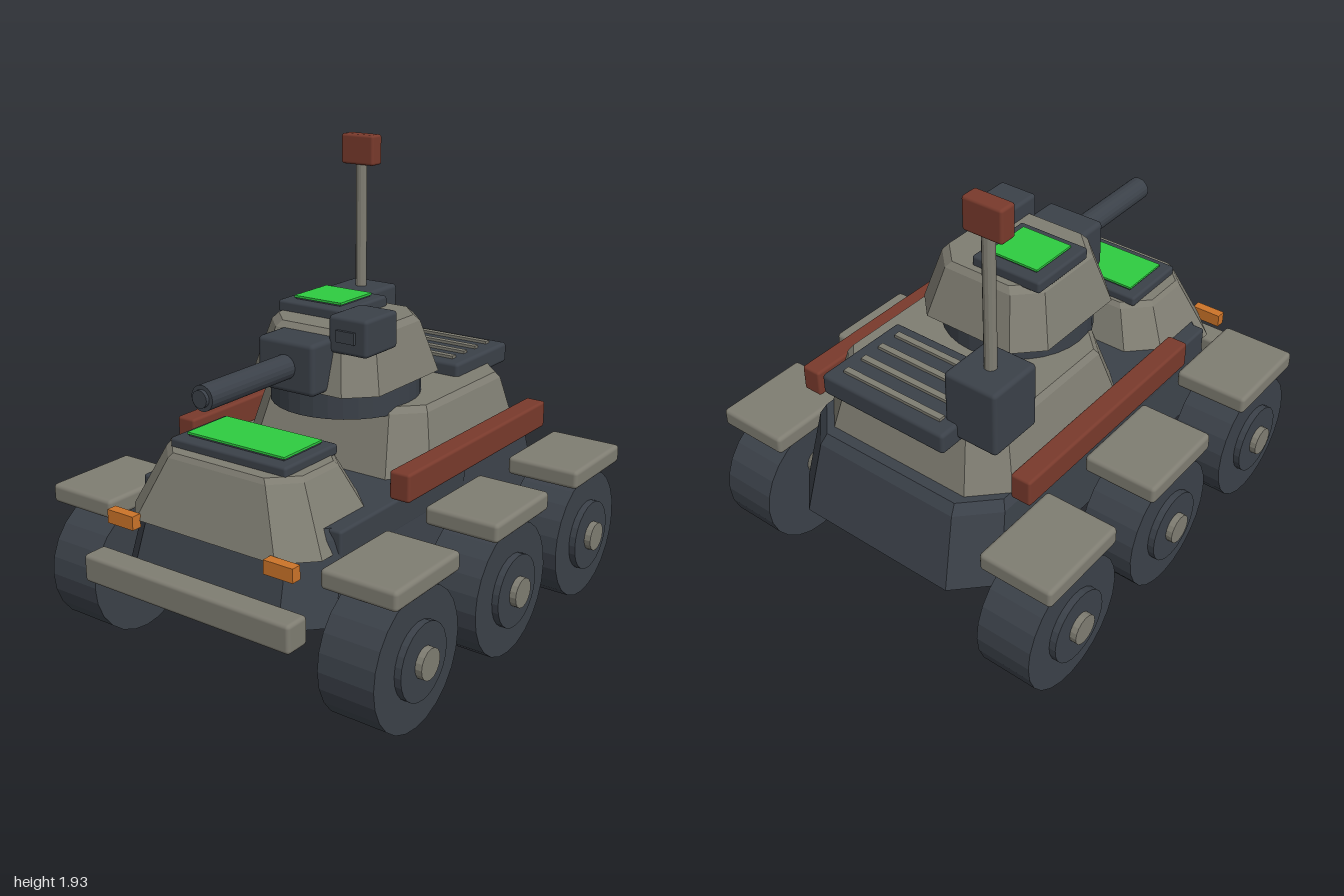
import * as THREE from 'three';
import { RoundedBoxGeometry } from 'three/addons/geometries/RoundedBoxGeometry.js';

const mat = (name, color) => {
  const m = new THREE.MeshStandardMaterial({ color });
  m.name = name;
  return m;
};

// Octagonal solid lofted through rings of [y, halfWidth, zBack, zFront, chamfer]
function octLoft(rings) {
  const pos = [];
  const loops = rings.map(([y, w, zb, zf, c]) => [
    [w, zf - c], [w, zb + c], [w - c, zb], [-w + c, zb],
    [-w, zb + c], [-w, zf - c], [-w + c, zf], [w - c, zf],
  ].map(([x, z]) => [x, y, z]));
  const tri = (...p) => p.forEach((v) => pos.push(...v));
  for (let r = 0; r < loops.length - 1; r++) {
    for (let i = 0; i < 8; i++) {
      const j = (i + 1) % 8, a = loops[r], b = loops[r + 1];
      tri(a[i], a[j], b[j]);
      tri(a[i], b[j], b[i]);
    }
  }
  const low = loops[0], top = loops[loops.length - 1];
  for (let i = 1; i < 7; i++) {
    tri(low[0], low[i + 1], low[i]);
    tri(top[0], top[i], top[i + 1]);
  }
  const g = new THREE.BufferGeometry();
  g.setAttribute('position', new THREE.Float32BufferAttribute(pos, 3));
  g.computeVertexNormals();
  return g;
}

// Cylinder with flat sides
function drum(r, length, sides, axis = 'y') {
  const g = new THREE.CylinderGeometry(r, r, length, sides).toNonIndexed();
  g.computeVertexNormals();
  if (axis === 'x') g.rotateZ(-Math.PI / 2);
  if (axis === 'z') g.rotateX(Math.PI / 2);
  return g;
}

export function createModel() {
  const model = new THREE.Group();
  model.name = 'armouredRover';
  const tan = mat('armourGrey', 0x7f7d72);
  const dark = mat('darkSteel', 0x3b4149);
  const red = mat('rustRed', 0x793a2c);
  const green = mat('glowGreen', 0x2ecc40);
  const orange = mat('lampOrange', 0xcc7429);

  const add = (name, geo, material, x = 0, y = 0, z = 0, parent = model) => {
    const m = new THREE.Mesh(geo, material);
    m.name = name;
    m.position.set(x, y, z);
    parent.add(m);
    return m;
  };
  // Box from its limits; r > 0 softens the edges
  const box = (name, material, [x0, x1], [y0, y1], [z0, z1], r = 0.012) => {
    const s = [x1 - x0, y1 - y0, z1 - z0];
    const g = r ? new RoundedBoxGeometry(...s, 2, r) : new THREE.BoxGeometry(...s);
    return add(name, g, material, (x0 + x1) / 2, (y0 + y1) / 2, (z0 + z1) / 2);
  };
  const span = (s, a, b) => (s > 0 ? [a, b] : [-b, -a]);

  // Body
  add('hull', octLoft([
    [0.365, 0.51, -0.95, 0.885, 0.15],
    [0.67, 0.475, -0.87, 0.79, 0.14],
    [0.71, 0.455, -0.84, 0.77, 0.13],
  ]), dark);
  add('rearDeck', octLoft([
    [0.7, 0.463, -0.795, 0.165, 0.13],
    [0.95, 0.402, -0.725, 0.08, 0.11],
    [0.975, 0.385, -0.71, 0.065, 0.11],
  ]), tan);
  add('nose', octLoft([
    [0.62, 0.46, 0.28, 0.87, 0.12],
    [0.87, 0.335, 0.375, 0.787, 0.1],
    [0.89, 0.32, 0.39, 0.775, 0.1],
  ]), tan);
  box('bumper', tan, [-0.5, 0.5], [0.365, 0.48], [0.89, 1.0], 0.016);
  box('noseHatch', dark, [-0.28, 0.28], [0.88, 0.925], [0.405, 0.725]);
  box('noseHatchPanel', green, [-0.235, 0.235], [0.932, 0.941], [0.445, 0.675], 0);
  box('noseHatchPanelBase', dark, [-0.23, 0.23], [0.92, 0.932], [0.45, 0.67], 0);

  for (const s of [1, -1]) {
    box('sideStep', dark, span(s, 0.4, 0.485), [0.58, 0.71], [-0.2, 0.67]);
    box('sideRail', red, span(s, 0.485, 0.575), [0.735, 0.85], [-0.71, 0.365]);
    box('frontLamp', orange, span(s, 0.318, 0.45), [0.592, 0.648], [0.865, 0.908], 0);
  }

  // Turret
  add('turretRing', drum(0.31, 0.12, 32), dark, 0, 1.005, -0.035);
  add('turret', octLoft([
    [1.055, 0.313, -0.355, 0.285, 0.105],
    [1.27, 0.255, -0.29, 0.22, 0.095],
    [1.295, 0.235, -0.27, 0.2, 0.095],
  ]), tan);
  box('turretHatch', dark, [-0.26, 0.065], [1.285, 1.337], [-0.24, 0.078]);
  box('turretHatchPanel', green, [-0.212, 0.02], [1.343, 1.352], [-0.19, 0.03], 0);
  box('turretHatchPanelBase', dark, [-0.207, 0.015], [1.33, 1.343], [-0.185, 0.025], 0);
  box('gunMantlet', dark, [-0.135, 0.135], [1.063, 1.272], [0.2, 0.368], 0.02);
  add('gunBarrel', drum(0.05, 0.55, 20, 'z'), dark, 0, 1.166, 0.57);
  add('gunMuzzle', drum(0.034, 0.04, 20, 'z'), dark, 0, 1.166, 0.84);
  box('sightBox', dark, [0.12, 0.3], [1.217, 1.367], [0.035, 0.25], 0.016);
  box('sightWindow', dark, [0.165, 0.25], [1.268, 1.315], [0.247, 0.263], 0);

  // Engine grille
  box('engineGrille', dark, [-0.3, 0.295], [0.942, 1.032], [-0.862, -0.435], 0.016);
  for (const z of [-0.79, -0.695, -0.6, -0.505]) {
    box('grilleSlat', tan, [-0.24, 0.235], [1.02, 1.044], [z - 0.014, z + 0.014], 0);
  }

  // Antenna
  box('antennaBase', dark, [-0.475, -0.24], [0.965, 1.243], [-0.778, -0.535], 0.018);
  add('antennaPole', drum(0.025, 0.6, 12), tan, -0.357, 1.52, -0.653);
  box('antennaHead', red, [-0.443, -0.272], [1.795, 1.928], [-0.69, -0.615]);

  // Six wheels, each with a fender and a sloping axle arm
  const up = new THREE.Vector3(0, 1, 0);
  for (const s of [1, -1]) {
    for (const z of [0.626, -0.058, -0.722]) {
      const wheel = new THREE.Group();
      wheel.name = 'wheel';
      wheel.position.set(s * 0.67, 0.279, z);
      model.add(wheel);
      add('tyre', drum(0.278, 0.24, 24, 'x'), dark, 0, 0, 0, wheel);
      add('hub', drum(0.152, 0.06, 24, 'x'), dark, s * 0.118, 0, 0, wheel);
      add('hubCap', drum(0.062, 0.06, 16, 'x'), tan, s * 0.146, 0, 0, wheel);
      box('fender', tan, span(s, 0.51, 0.835), [0.56, 0.64], [z - 0.21, z + 0.21], 0.018);

      const a = new THREE.Vector3(s * 0.38, 0.47, z);
      const b = new THREE.Vector3(s * 0.6, 0.335, z);
      const dir = b.clone().sub(a);
      const mid = a.clone().add(b).multiplyScalar(0.5);
      const arm = add('axleArm', drum(0.045, dir.length(), 12), tan, mid.x, mid.y, mid.z);
      arm.quaternion.setFromUnitVectors(up, dir.normalize());
    }
  }
  return model;
}
